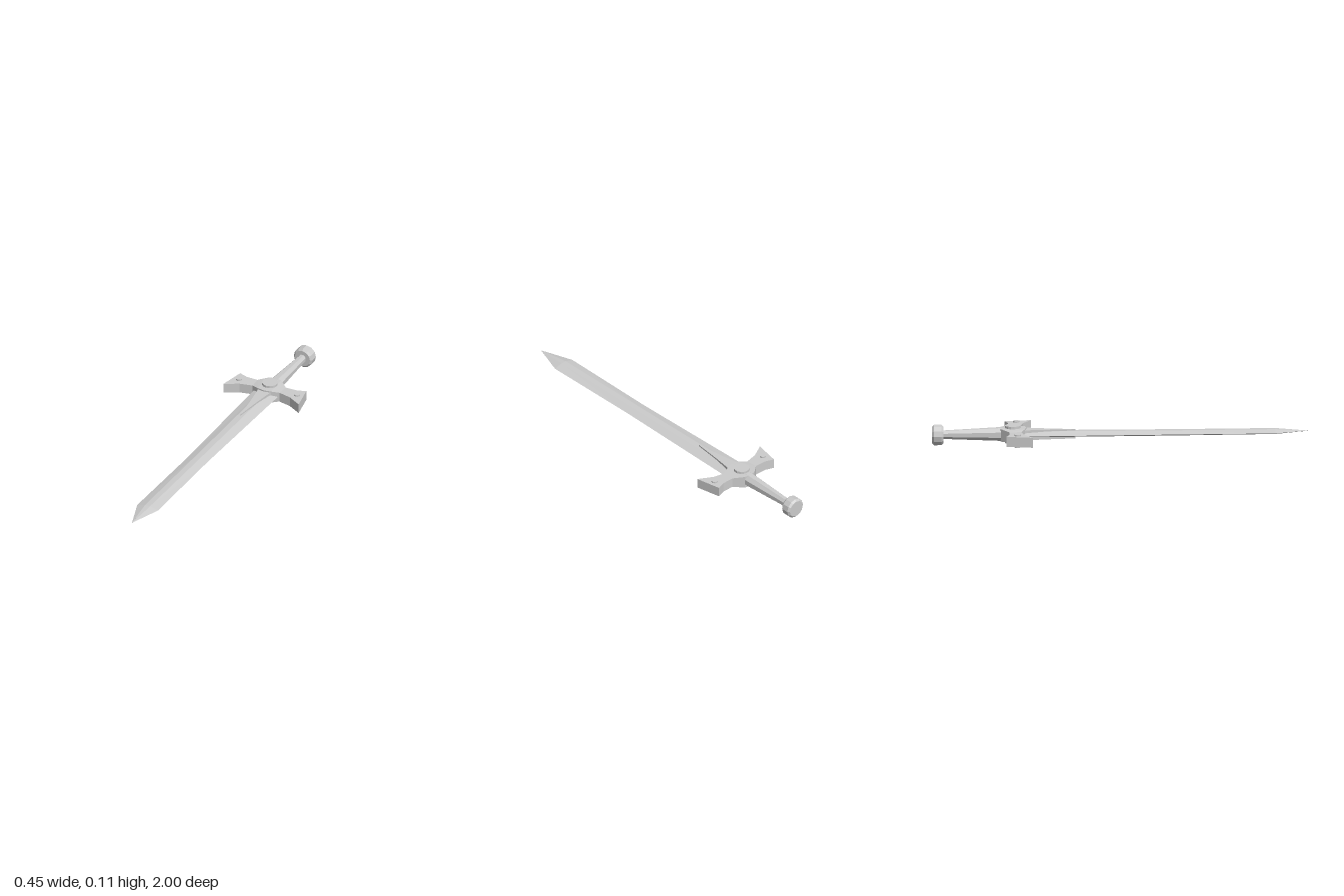
import * as THREE from 'three';

const MID = 0.059; // height of the sword's centre plane
const material = new THREE.MeshStandardMaterial({ color: 0xcccccc, flatShading: true });

function add(parent, name, geometry, x = 0, y = 0, z = 0) {
  const mesh = new THREE.Mesh(geometry, material);
  mesh.name = name;
  mesh.position.set(x, y, z);
  parent.add(mesh);
  return mesh;
}

// Closed solid through rings of [x, y, z], each counter-clockwise seen from the far end
function loft(rings) {
  const out = [];
  const n = rings[0].length;
  const tri = (a, b, c) => out.push(...a, ...b, ...c);
  for (let i = 0; i < rings.length - 1; i++) {
    for (let j = 0; j < n; j++) {
      const k = (j + 1) % n;
      tri(rings[i][j], rings[i][k], rings[i + 1][k]);
      tri(rings[i][j], rings[i + 1][k], rings[i + 1][j]);
    }
  }
  const first = rings[0], last = rings[rings.length - 1];
  for (let j = 1; j < n - 1; j++) {
    tri(first[0], first[j + 1], first[j]);
    tri(last[0], last[j], last[j + 1]);
  }
  const geometry = new THREE.BufferGeometry();
  geometry.setAttribute('position', new THREE.Float32BufferAttribute(out, 3));
  geometry.computeVertexNormals();
  return geometry;
}

export function createModel() {
  const sword = new THREE.Group();
  sword.name = 'sword';

  // Blade: z, half width, half thickness, half width of the ridge, centre height
  const blade = [
    [-0.56, 0.073, 0.016, 0.018, 0.06],
    [0.25, 0.058, 0.014, 0.016, 0.064],
    [0.82, 0.062, 0.013, 0.015, 0.069],
    [0.995, 0.001, 0.0005, 0.0005, 0.07],
  ];
  add(sword, 'blade', loft(blade.map(([z, w, t, r, y]) => [
    [w, y, z], [r, y + t, z], [-r, y + t, z], [-w, y, z], [-r, y - t, z], [r, y - t, z],
  ])));

  // Crossguard: back x, back z, front x, front z, half height; mirrored to the other side
  const half = [
    [0, -0.64, 0, -0.5, 0.035],
    [0.035, -0.635, 0.04, -0.508, 0.034],
    [0.085, -0.592, 0.08, -0.528, 0.027],
    [0.15, -0.593, 0.15, -0.513, 0.027],
    [0.198, -0.61, 0.226, -0.47, 0.027],
  ];
  const mirrored = half.slice(1).reverse().map(([xb, zb, xf, zf, h]) => [-xb, zb, -xf, zf, h]);
  add(sword, 'crossguard', loft([...mirrored, ...half].map(([xb, zb, xf, zf, h]) => [
    [xb, MID + h, zb], [xf, MID + h, zf], [xf, MID - h, zf], [xb, MID - h, zb],
  ])));

  // Pointed tongue of the guard lying over the blade: z, half width, half height
  const tongue = [[-0.53, 0.045, 0.027], [-0.49, 0.034, 0.027], [-0.4, 0.02, 0.026], [-0.24, 0.001, 0.025]];
  add(sword, 'guardTongue', loft(tongue.map(([z, w, h]) => [
    [w, MID - h, z], [w, MID + h, z], [-w, MID + h, z], [-w, MID - h, z],
  ])));

  // Round boss and studs passing through the guard
  add(sword, 'centreBoss', new THREE.CylinderGeometry(0.042, 0.042, 0.094, 14), 0, MID, -0.572);
  for (const side of [-1, 1]) {
    add(sword, side > 0 ? 'leftStud' : 'rightStud',
      new THREE.CylinderGeometry(0.017, 0.017, 0.07, 10), side * 0.174, MID, -0.55);
  }

  // Tapered eight-sided grip
  const grip = [[-0.96, 0.02, 0.021, 0.057], [-0.62, 0.036, 0.036, 0.06]];
  add(sword, 'grip', loft(grip.map(([z, rx, ry, y]) => Array.from({ length: 8 }, (_, i) => {
    const a = (i + 0.5) * Math.PI / 4;
    return [rx * 1.06 * Math.cos(a), y + ry * 1.06 * Math.sin(a), z];
  }))));

  // Pommel with chamfered rims, turned to lie along z
  const profile = [[0, 0], [0.046, 0], [0.056, 0.01], [0.056, 0.05], [0.046, 0.06], [0, 0.06]]
    .map(([r, h]) => new THREE.Vector2(r, h));
  const pommel = add(sword, 'pommel', new THREE.LatheGeometry(profile, 12), 0, 0.056, -1);
  pommel.rotation.x = Math.PI / 2;

  return sword;
}
